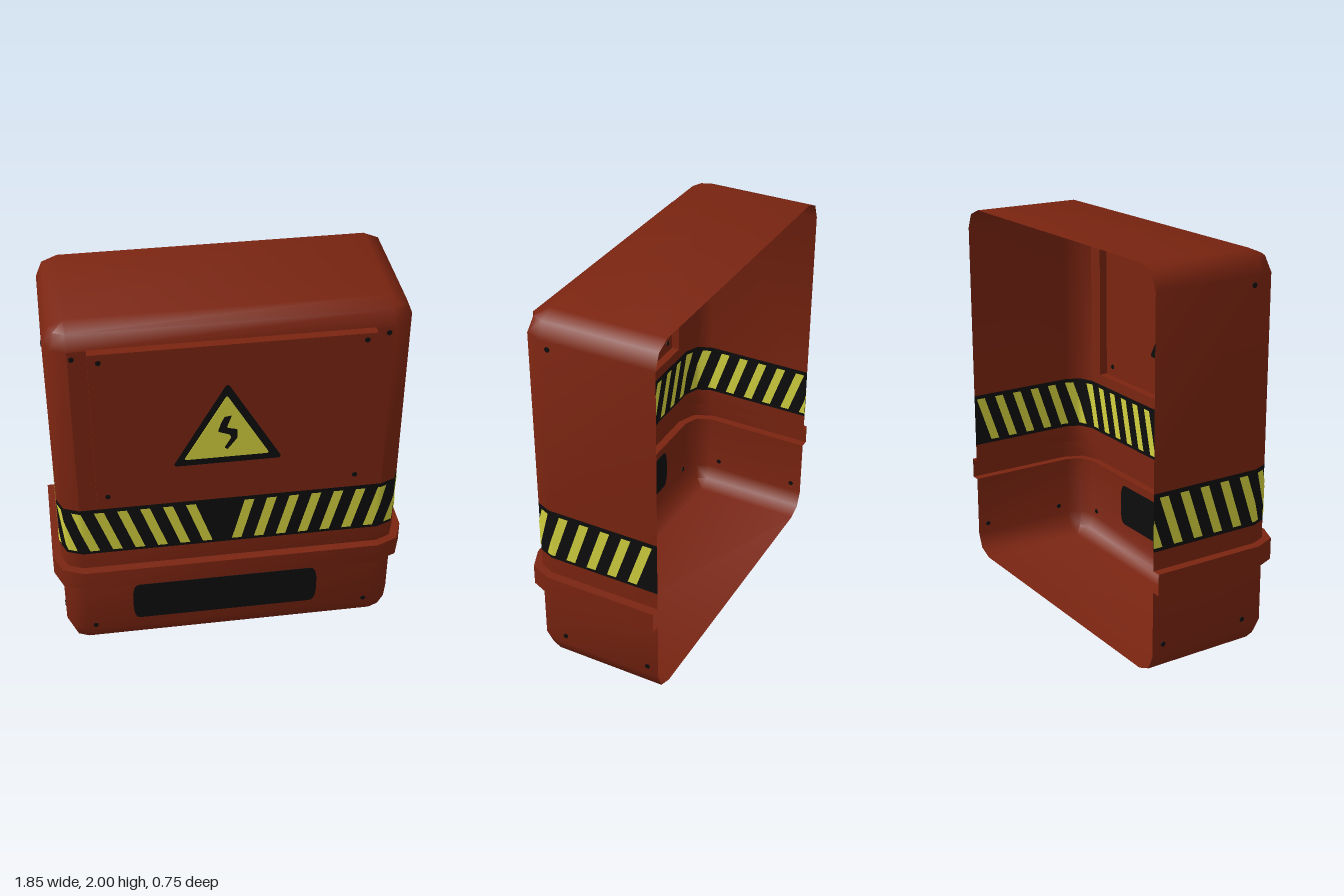
import * as THREE from 'three';
import { mergeGeometries, toCreasedNormals } from 'three/addons/utils/BufferGeometryUtils.js';

const CX = 0.77, CZ = 0.22, BACK = -0.375, R = 0.11, FRONT = CZ + R, PANEL = 0.375;

const mat = (name, color) =>
  new THREE.MeshStandardMaterial({ name, color, side: THREE.DoubleSide });

// U-shaped plan, open at the back, with corner radius r
function plan(r) {
  const half = [[CX, CZ + r], [CX + r * Math.SQRT1_2, CZ + r * Math.SQRT1_2], [CX + r, CZ], [CX + r, BACK]];
  return [...half.map(([x, z]) => [-x, z]).reverse(), ...half];
}

// Skin through rows of [height, corner radius]; a radius of null closes the end
function loft(rows, openFrontRow = -1) {
  const pos = [], idx = [], n = 8;
  rows.forEach(([y, r]) => plan(r ?? 0).forEach(([x, z]) => pos.push(x, y, r === null ? BACK : z)));
  for (let j = 0; j < rows.length - 1; j++) {
    for (let i = 0; i < n - 1; i++) {
      if (j === openFrontRow && i === 3) continue;
      const a = j * n + i, b = a + 1, c = a + n, d = c + 1;
      idx.push(a, b, d, a, d, c);
    }
  }
  const g = new THREE.BufferGeometry();
  g.setAttribute('position', new THREE.Float32BufferAttribute(pos, 3));
  g.setIndex(idx);
  return toCreasedNormals(g, 0.9);
}

// Point at distance s along one half of the plan, starting at the front centre
function along(s, r) {
  const pts = [[0, CZ + r], ...plan(r).slice(4)];
  for (let i = 0; i < pts.length - 1; i++) {
    const [x0, z0] = pts[i], [x1, z1] = pts[i + 1];
    const len = Math.hypot(x1 - x0, z1 - z0);
    if (s <= len) return [x0 + (x1 - x0) * s / len, z0 + (z1 - z0) * s / len];
    s -= len;
  }
  return pts[pts.length - 1];
}

// Slanted stripe that wraps around the corner
function stripe(side, start, lean, r) {
  const g = new THREE.PlaneGeometry(1, 1, 6, 8), p = g.attributes.position;
  for (let i = 0; i < p.count; i++) {
    const u = p.getX(i) + 0.5, v = p.getY(i) + 0.5;
    const [x, z] = along(start + u * 0.05 + v * lean, r);
    p.setXYZ(i, side * x, 0.67 + v * 0.25, z);
  }
  g.computeVertexNormals();
  return g;
}

function rectPath(path, x0, y0, x1, y1) {
  path.moveTo(x0, y0).lineTo(x1, y0).lineTo(x1, y1).lineTo(x0, y1).closePath();
  return path;
}

// Polygon with softened corners
function softShape(pts, k) {
  const v = pts.map(([x, y]) => new THREE.Vector2(x, y)), s = new THREE.Shape(), n = v.length;
  v.forEach((p, i) => {
    const a = p.clone().lerp(v[(i + n - 1) % n], k), b = p.clone().lerp(v[(i + 1) % n], k);
    i ? s.lineTo(a.x, a.y) : s.moveTo(a.x, a.y);
    s.quadraticCurveTo(p.x, p.y, b.x, b.y);
  });
  return s.closePath();
}

export function createModel() {
  const red = mat('rustRed', 0x7a2410);
  const black = mat('black', 0x0d0d0d);
  const yellow = mat('warningYellow', 0xd2d13f);
  const group = new THREE.Group();
  const add = (name, geometry, material, x = 0, y = 0, z = 0) => {
    const m = new THREE.Mesh(geometry, material);
    m.name = name;
    m.position.set(x, y, z);
    group.add(m);
    return m;
  };
  // Thin plate centred on a wall, so it shows on both faces
  const plate = (name, shape, depth, material, z) =>
    add(name, new THREE.ExtrudeGeometry(shape, { depth, bevelEnabled: false, curveSegments: 6 }),
      material, 0, 0, z - depth / 2);

  // Shell: lower part with projecting rim, painted band, upper part
  const mid = R * Math.SQRT1_2, low = R - mid;
  add('lowerShell', loft([[0, null], [0, 0], [low, mid], [R, R], [0.445, R], [0.445, 0.155],
    [0.555, 0.155], [0.555, R], [0.65, R]]), red);
  add('hazardBand', loft([[0.65, R], [0.94, R]]), black);
  add('upperShell', loft([[0.94, R], [2 - R, R], [2 - low, mid], [2, 0], [2, null]], 0), red);

  // Front wall with the opening behind the raised panel
  const wall = rectPath(new THREE.Shape(), -CX, 0.94, CX, 2 - R);
  wall.holes.push(rectPath(new THREE.Path(), -0.68, 1.0, 0.68, 1.885));
  add('frontWall', new THREE.ShapeGeometry(wall), red, 0, 0, FRONT);

  // Raised panel, hollow at the back
  const panel = new THREE.BoxGeometry(1.36, 0.895, PANEL - FRONT);
  panel.setIndex([...panel.index.array].slice(0, 30));
  panel.clearGroups();
  add('frontPanel', panel, red, 0, 1.4475, (PANEL + FRONT) / 2);

  // Hazard stripes, leaning outwards from the middle, on both faces of the wall
  const stripes = [];
  for (const r of [R + 0.0045, R - 0.0045]) {
    for (let k = 0; k < 13; k++) {
      stripes.push(stripe(1, k * 0.115, 0.065 + (k > 6 ? 0.02 : 0), r));
      stripes.push(stripe(-1, 0.1 + k * 0.116, 0.085, r));
    }
  }
  add('hazardStripes', mergeGeometries(stripes), yellow);

  // Warning sign
  plate('signBorder', softShape([[-0.3, 1.207], [0.243, 1.207], [-0.03, 1.68]], 0.05), 0.003, black, PANEL);
  plate('signFace', softShape([[-0.245, 1.243], [0.178, 1.243], [-0.033, 1.61]], 0.04), 0.006, yellow, PANEL);
  plate('signBolt', softShape([[-0.045, 1.485], [-0.01, 1.49], [-0.035, 1.42], [0.018, 1.405], [0.018, 1.355],
    [-0.03, 1.29], [-0.045, 1.3], [-0.012, 1.36], [-0.02, 1.378], [-0.077, 1.4], [-0.062, 1.45]], 0.15),
  0.009, black, PANEL);

  // Dark slot mark
  plate('slotMark', softShape([[-0.525, 0.165], [-0.44, 0.165], [0.37, 0.165], [0.46, 0.165], [0.46, 0.4],
    [0.37, 0.4], [-0.44, 0.4], [-0.525, 0.4]], 0.42), 0.006, black, FRONT);

  // Screws: front wall, panel and sides
  const screw = new THREE.CylinderGeometry(0.014, 0.014, 0.008, 6);
  const fronts = [[-0.75, 1.85, FRONT], [0.745, 1.86, FRONT], [-0.73, 0.14, FRONT], [0.725, 0.14, FRONT],
    [-0.63, 1.85, PANEL], [0.63, 1.86, PANEL], [-0.625, 1.055, PANEL], [0.615, 1.055, PANEL]];
  fronts.forEach(([x, y, z]) => { add('screw', screw, black, x, y, z).rotation.x = Math.PI / 2; });
  for (const side of [-1, 1]) {
    for (const [y, z] of [[1.85, 0.175], [0.16, 0.16], [0.16, -0.315]]) {
      add('sideScrew', screw, black, side * (CX + R), y, z).rotation.z = Math.PI / 2;
    }
  }
  return group;
}
